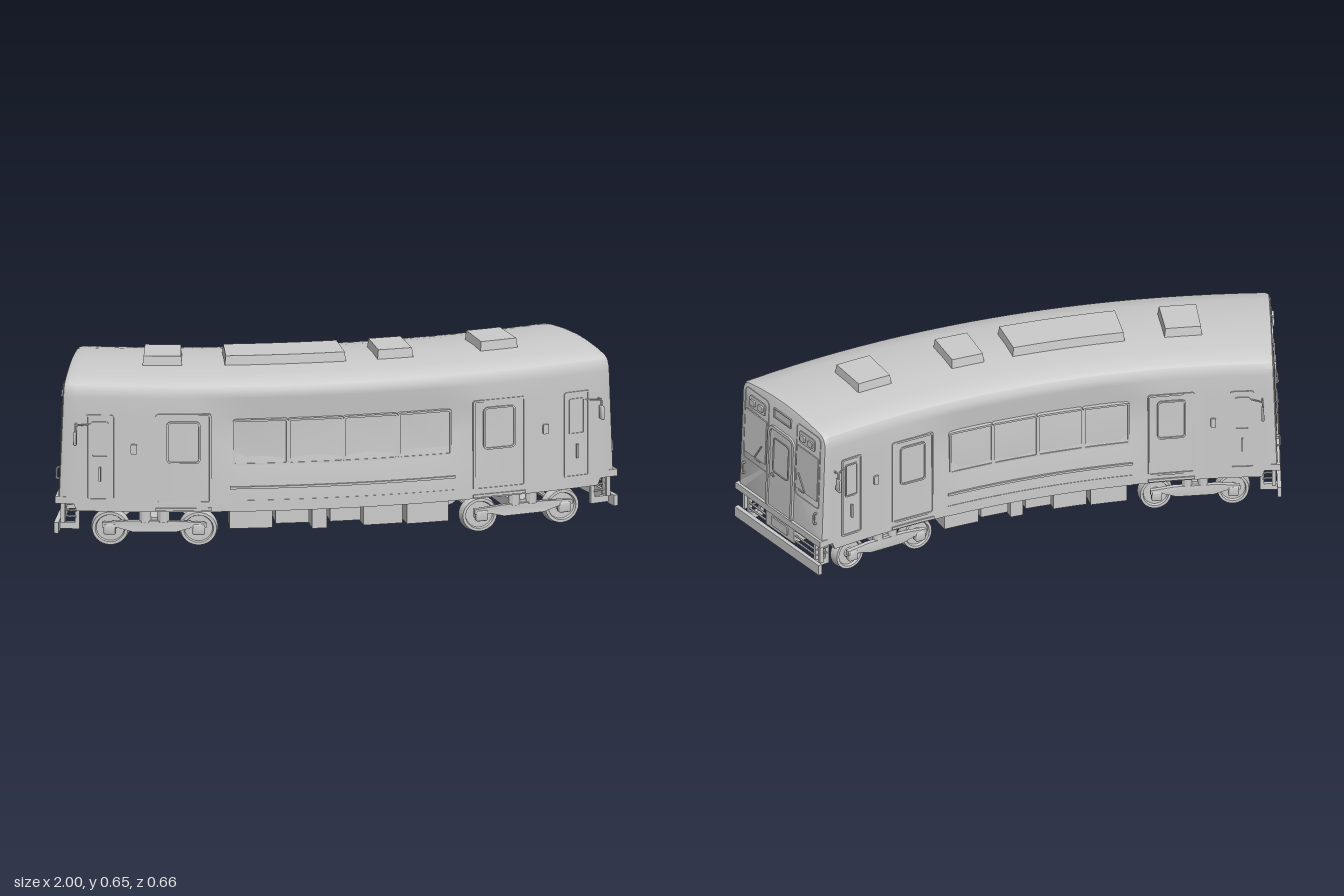
import * as THREE from 'three';
import { toCreasedNormals } from 'three/addons/utils/BufferGeometryUtils.js';
import { RoundedBoxGeometry } from 'three/addons/geometries/RoundedBoxGeometry.js';

const R = 3.1, Z0 = 0.073; // radius of the bent centre line, its z at mid-length
const mat = new THREE.MeshStandardMaterial({ color: 0xcccccc, side: THREE.DoubleSide });
const clamp = THREE.MathUtils.clamp, smooth = THREE.MathUtils.smoothstep;

// Maps a straight car (s along, y up, w across) onto the arc, leaning the ends back a little
function bend(geo) {
  const p = geo.attributes.position;
  for (let i = 0; i < p.count; i++) {
    const y = p.getY(i), w = p.getZ(i);
    let s = p.getX(i);
    s -= Math.sign(s) * 0.015 * clamp((y - 0.2) / 0.4, 0, 1) * clamp((Math.abs(s) - 0.85) / 0.06, 0, 1);
    const a = s / R;
    p.setXYZ(i, (R + w) * Math.sin(a), y, Z0 - R + (R + w) * Math.cos(a));
  }
  return toCreasedNormals(geo, 0.5);
}

function add(parent, name, geo, flip = false) {
  if (flip) geo.rotateY(Math.PI);
  const mesh = new THREE.Mesh(bend(geo), mat);
  mesh.name = name;
  parent.add(mesh);
}

// Box by its limits, subdivided lengthwise so that it bends
function box(s0, s1, y0, y1, w0, w1) {
  const n = Math.max(1, Math.ceil((s1 - s0) / 0.08));
  return new THREE.BoxGeometry(s1 - s0, y1 - y0, w1 - w0, n, 1, 1)
    .translate((s0 + s1) / 2, (y0 + y1) / 2, (w0 + w1) / 2);
}

function roundRect(Type, x0, x1, y0, y1, r) {
  const p = new Type();
  p.moveTo(x0 + r, y0);
  p.lineTo(x1 - r, y0); p.quadraticCurveTo(x1, y0, x1, y0 + r);
  p.lineTo(x1, y1 - r); p.quadraticCurveTo(x1, y1, x1 - r, y1);
  p.lineTo(x0 + r, y1); p.quadraticCurveTo(x0, y1, x0, y1 - r);
  p.lineTo(x0, y0 + r); p.quadraticCurveTo(x0, y0, x0 + r, y0);
  return p;
}

// Plate (rim 0) or frame standing out from z0 to z1
function plate(x0, x1, y0, y1, r, z0, z1, rim = 0) {
  const shape = roundRect(THREE.Shape, x0, x1, y0, y1, r);
  if (rim) shape.holes.push(roundRect(THREE.Path, x0 + rim, x1 - rim, y0 + rim, y1 - rim, Math.max(r - rim, 0.003)));
  return new THREE.ExtrudeGeometry(shape, { depth: z1 - z0, bevelEnabled: false, curveSegments: 5 }).translate(0, 0, z0);
}
// The same, turned to face along +s
const endPlate = (...a) => plate(...a).rotateY(Math.PI / 2);

function rod(points, r) {
  const path = new THREE.CurvePath();
  const v = points.map((p) => new THREE.Vector3(...p));
  for (let i = 1; i < v.length; i++) path.add(new THREE.LineCurve3(v[i - 1], v[i]));
  return new THREE.TubeGeometry(path, (v.length - 1) * 4, r, 6);
}

// Body shell lofted from rings; the walls draw in around the side windows
function bodyGeometry() {
  const half = [[0.252, 0], [0.252, 0.2], [0.252, 0.3], [0.252, 0.38], [0.252, 0.48], [0.252, 0.55], [0.25, 0.575],
    [0.242, 0.592], [0.225, 0.603], [0.16, 0.614], [0.08, 0.622], [0, 0.625]];
  const prof = [...half, ...half.slice(0, -1).reverse().map(([w, y]) => [-w, y])];
  const stations = [-0.925, -0.921, -0.91, -0.875, -0.865];
  for (let i = -10; i <= 10; i++) stations.push(i * 0.08);
  stations.push(0.865, 0.875, 0.91, 0.921, 0.925);
  const pos = [], idx = [], n = prof.length;
  for (const s of stations) {
    const e = Math.abs(s), inset = e > 0.923 ? 0.012 : e > 0.915 ? 0.004 : 0;
    const mid = 1 - smooth(e, 0.3, 0.5);
    for (const [w, y] of prof) {
      const draw = 0.02 * mid * smooth(y, 0.2, 0.47) * (1 - smooth(y, 0.48, 0.55));
      const yy = y === 0 ? (e > 0.87 ? 0.165 : 0.14) : y - (y > 0.56 ? inset : 0);
      pos.push(s, yy, Math.sign(w) * Math.max(0, Math.abs(w) - inset - draw));
    }
  }
  const last = stations.length - 1;
  for (let k = 0; k < last; k++) for (let i = 0; i < n; i++) {
    const j = (i + 1) % n, a = k * n + i, b = a + n, c = k * n + j, d = c + n;
    idx.push(a, b, c, b, d, c);
  }
  pos.push(-0.925, 0.4, 0, 0.925, 0.4, 0);
  for (let i = 0; i < n; i++) {
    const j = (i + 1) % n, c = n * (last + 1);
    idx.push(c, i, j, c + 1, last * n + j, last * n + i);
  }
  const g = new THREE.BufferGeometry();
  g.setAttribute('position', new THREE.Float32BufferAttribute(pos, 3));
  g.setIndex(idx);
  return g;
}

// One end: doorway, windows, lamps, sill, guard bars and bumper
function buildEnd(g, f) {
  const E = 0.925, at = (name, geo) => add(g, name, geo, f);
  at('endDoorFrame', endPlate(-0.078, 0.078, 0.168, 0.51, 0.035, E - 0.01, E + 0.008, 0.011));
  at('endDoor', endPlate(-0.066, 0.066, 0.175, 0.498, 0.025, E - 0.01, E + 0.003));
  at('endDoorWindow', endPlate(-0.047, 0.047, 0.33, 0.468, 0.018, E, E + 0.006, 0.004));
  at('endDoorHandle', rod([[E, 0.32, 0.048], [E + 0.01, 0.32, 0.048], [E + 0.01, 0.32, 0.03]], 0.004));
  at('destinationSign', endPlate(-0.052, 0.052, 0.545, 0.582, 0.003, E - 0.01, E + 0.005, 0.004));
  at('destinationPanel', endPlate(-0.048, 0.048, 0.549, 0.578, 0.003, E - 0.01, E + 0.001));
  for (const m of [1, -1]) {
    const span = (a, b) => (m > 0 ? [a, b] : [-b, -a]);
    at('cabSurround', endPlate(...span(0.083, 0.228), 0.302, 0.588, 0.02, E - 0.01, E + 0.002, 0.004));
    at('cabWindow', endPlate(...span(0.092, 0.219), 0.333, 0.503, 0.004, E - 0.01, E + 0.004));
    at('lampPanel', endPlate(...span(0.104, 0.196), 0.52, 0.566, 0.01, E - 0.01, E + 0.004));
    for (const c of [0.127, 0.173])
      at('lamp', endPlate(...span(c - 0.014, c + 0.014), 0.532, 0.554, 0.005, E, E + 0.01));
    at('wiper', rod([[E + 0.008, 0.4, m * 0.11], [E + 0.008, 0.335, m * 0.152], [E + 0.008, 0.335, m * 0.115]], 0.003));
    at('grabHandle', rod([[E, 0.285, m * 0.215], [E + 0.012, 0.285, m * 0.215], [E + 0.012, 0.245, m * 0.215], [E, 0.245, m * 0.215]], 0.004));
    for (const y of [0.108, 0.13, 0.152])
      at('guardBar', rod([[0.87, y, m * 0.21], [0.918, y, m * 0.205], [0.918, y, m * 0.085]], 0.004));
    for (const w of [0.2, 0.228])
      at('guardPost', box(0.905, 0.92, 0.09, 0.168, m * w - 0.006, m * w + 0.006));
    at('bumperBrace', box(0.87, 0.928, 0.062, 0.085, m * 0.2 - 0.008, m * 0.2 + 0.008));
    at('bumperHanger', box(0.86, 0.875, 0.062, 0.168, m * 0.2 - 0.008, m * 0.2 + 0.008));
    // mirror on its bracket
    at('mirrorBracket', rod([[0.87, 0.455, m * 0.25], [0.87, 0.455, m * 0.276], [0.87, 0.41, m * 0.276]], 0.004));
    at('mirror', new RoundedBoxGeometry(0.012, 0.05, 0.026, 2, 0.004).translate(0.87, 0.41, m * 0.278));
    at('mirrorStay', rod([[0.87, 0.455, m * 0.276], [0.82, 0.455, m * 0.252]], 0.003));
  }
  at('sill', box(0.9, 0.935, 0.165, 0.19, -0.254, 0.254));
  at('couplerBox', box(0.86, 0.925, 0.1, 0.167, -0.083, 0.083));
  at('couplerPlate', endPlate(-0.048, 0.048, 0.115, 0.15, 0.007, E - 0.005, E + 0.005));
  at('bumper', box(0.924, 0.9395, 0.056, 0.095, -0.251, 0.251));
}

// One long side: windows, passenger doors, crew doors, underfloor boxes
function buildSide(g, f) {
  const W = 0.252, at = (name, geo) => add(g, name, geo, f);
  for (let i = 0; i < 4; i++) {
    const s = -0.36 + i * 0.18;
    at('sideWindowFrame', plate(s, s + 0.18, 0.305, 0.47, 0.01, W - 0.03, W - 0.004, 0.007));
    at('sideWindow', plate(s + 0.005, s + 0.175, 0.31, 0.465, 0.005, W - 0.03, W - 0.009));
  }
  at('sideRail', box(-0.37, 0.37, 0.222, 0.23, W - 0.015, W + 0.005));
  at('skirt', box(-0.37, 0.37, 0.14, 0.18, W - 0.01, W + 0.002));
  for (const m of [1, -1]) {
    const c = m * 0.52, k = m * 0.79;
    at('sideDoorFrame', plate(c - 0.09, c + 0.09, 0.17, 0.495, 0.012, W - 0.01, W + 0.004, 0.007));
    at('sideDoorWindow', plate(c - 0.055, c + 0.055, 0.315, 0.468, 0.018, W - 0.01, W + 0.005, 0.006));
    at('crewDoorFrame', plate(k - 0.045, k + 0.045, 0.18, 0.49, 0.01, W - 0.01, W + 0.004, 0.006));
    at('crewDoorWindow', plate(k - 0.028, k + 0.028, 0.335, 0.465, 0.008, W - 0.01, W + 0.004, 0.005));
    at('crewDoorHandle', box(k - 0.003, k + 0.003, 0.25, 0.3, W - 0.005, W + 0.01));
    at('doorButton', plate(m * 0.68 - 0.01, m * 0.68 + 0.01, 0.35, 0.385, 0.004, W - 0.005, W + 0.007));
    at('step', box(c - 0.09, c + 0.09, 0.145, 0.155, W - 0.02, W + 0.005));
  }
  const boxes = [[-0.37, -0.23, 0.07], [-0.22, -0.11, 0.085], [-0.1, -0.05, 0.062], [-0.04, 0.06, 0.085],
    [0.07, 0.2, 0.065], [0.215, 0.355, 0.06]];
  for (const [a, b, y] of boxes) at('underfloorBox', box(a, b, y, 0.145, 0.13, 0.222));
}

// Two-axle truck centred at s
function buildBogie(g, s) {
  const profile = [[0, -0.012], [0.016, -0.012], [0.018, -0.006], [0.046, -0.006], [0.049, -0.016], [0.065, -0.016],
    [0.065, -0.01], [0.059, 0.016], [0.049, 0.016], [0.046, 0.006], [0.02, 0.006], [0.016, 0.02], [0, 0.02]]
    .map(([r, y]) => new THREE.Vector2(r, y));
  for (const d of [-0.145, 0.145]) {
    add(g, 'axle', new THREE.CylinderGeometry(0.01, 0.01, 0.38, 10).rotateX(Math.PI / 2).translate(s + d, 0.065, 0));
    for (const m of [1, -1]) {
      add(g, 'wheel', new THREE.LatheGeometry(profile, 28).rotateX(m * Math.PI / 2).translate(s + d, 0.065, m * 0.185));
      add(g, 'axleBox', new RoundedBoxGeometry(0.04, 0.04, 0.025, 2, 0.006).translate(s + d, 0.068, m * 0.215));
    }
  }
  for (const m of [1, -1]) {
    const side = new THREE.Shape([[-0.17, 0.075], [-0.12, 0.075], [-0.07, 0.06], [0.07, 0.06], [0.12, 0.075],
      [0.17, 0.075], [0.17, 0.092], [0.08, 0.1], [-0.08, 0.1], [-0.17, 0.092]].map((p) => new THREE.Vector2(...p)));
    add(g, 'bogieSideFrame', new THREE.ExtrudeGeometry(side, { depth: 0.016, bevelEnabled: false })
      .translate(s, 0, m * 0.218 - 0.008));
    for (const d of [-0.03, 0.03])
      add(g, 'spring', new THREE.CylinderGeometry(0.02, 0.02, 0.05, 12).translate(s + d, 0.12, m * 0.21));
  }
  add(g, 'bolster', box(s - 0.04, s + 0.04, 0.07, 0.11, -0.215, 0.215));
  add(g, 'pivot', new THREE.CylinderGeometry(0.04, 0.04, 0.05, 16).translate(s, 0.125, 0));
}

// Roof unit with tapered walls
function roofUnit(s0, s1, h) {
  const geo = box(s0, s1, 0.6, 0.655, -h, h), p = geo.attributes.position, c = (s0 + s1) / 2;
  for (let i = 0; i < p.count; i++) if (p.getY(i) > 0.63) {
    p.setX(i, p.getX(i) + Math.sign(c - p.getX(i)) * 0.006);
    p.setZ(i, p.getZ(i) * 0.92);
  }
  return geo;
}

export function createModel() {
  const model = new THREE.Group();
  model.name = 'railCar';
  const group = (name) => {
    const g = new THREE.Group();
    g.name = name;
    model.add(g);
    return g;
  };
  add(model, 'body', bodyGeometry());
  for (const f of [false, true]) {
    buildEnd(group(f ? 'rightEnd' : 'leftEnd'), f);
    buildSide(group(f ? 'backSide' : 'frontSide'), f);
    buildBogie(group(f ? 'rightBogie' : 'leftBogie'), f ? -0.615 : 0.615);
  }
  const roof = group('roofUnits');
  for (const [a, b] of [[-0.66, -0.52], [-0.38, 0.04], [0.145, 0.275], [0.51, 0.65]])
    add(roof, 'roofUnit', roofUnit(a, b, 0.083));
  return model;
}
